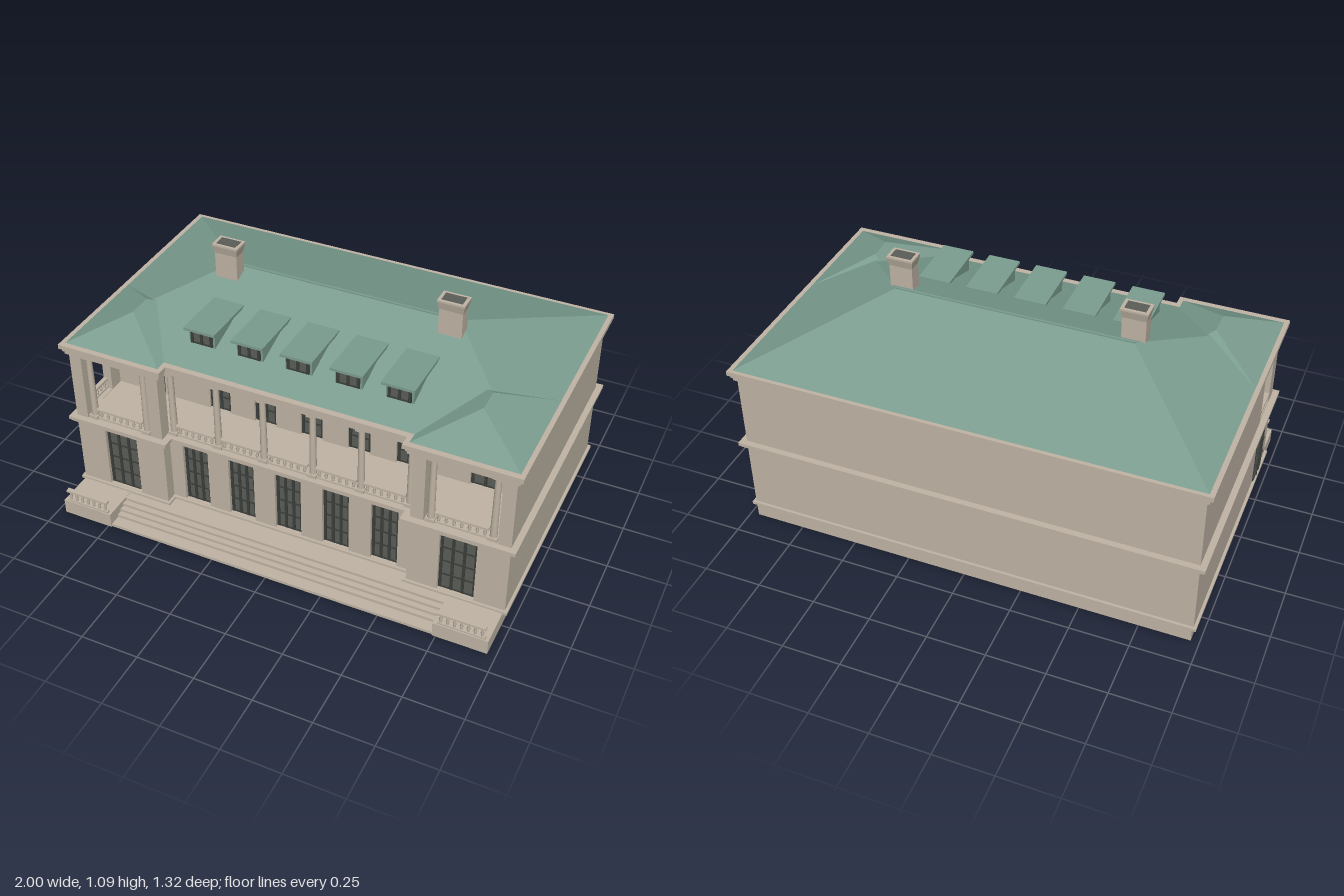
import * as THREE from 'three';

const mat = (name, color, side = THREE.FrontSide) => {
  const m = new THREE.MeshStandardMaterial({ color, side });
  m.name = name;
  return m;
};

export function createModel() {
  const house = new THREE.Group();
  house.name = 'house';
  const stone = mat('stone', 0xbfb4a4);
  const green = mat('roof green', 0x7b9d8f);
  const dark = mat('dark frame', 0x3b3e3a);
  const glass = mat('glass', 0x5a5d57);

  const add = (name, geo, material, parent = house) => {
    const m = new THREE.Mesh(geo, material);
    m.name = name;
    parent.add(m);
    return m;
  };
  // box from its minimum and maximum corners
  const box = (name, x0, x1, y0, y1, z0, z1, material = stone, parent = house) => {
    const g = new THREE.BoxGeometry(x1 - x0, y1 - y0, z1 - z0);
    g.translate((x0 + x1) / 2, (y0 + y1) / 2, (z0 + z1) / 2);
    return add(name, g, material, parent);
  };
  // box whose top face is moved to another rectangle (hips, flares)
  const taper = (name, [x0, x1, z0, z1], y0, [u0, u1, w0, w1], y1, material) => {
    const g = new THREE.BoxGeometry(1, 1, 1).toNonIndexed();
    const p = g.attributes.position;
    for (let i = 0; i < p.count; i++) {
      const r = p.getX(i) > 0, f = p.getZ(i) > 0;
      if (p.getY(i) > 0) p.setXYZ(i, r ? u1 : u0, y1, f ? w1 : w0);
      else p.setXYZ(i, r ? x1 : x0, y0, f ? z1 : z0);
    }
    g.computeVertexNormals();
    return add(name, g, material);
  };
  // slab following the plan: two front pavilions and a set-back centre
  const slab = (name, y0, y1, d) => {
    const X = 0.97 + d, I = 0.55 - d, B = 0.63 + d, F = -0.49 - d, C = -0.44 - d;
    const s = new THREE.Shape([[-X, B], [-X, F], [-I, F], [-I, C], [I, C], [I, F], [X, F], [X, B]]
      .map(([x, y]) => new THREE.Vector2(x, y)));
    const g = new THREE.ExtrudeGeometry(s, { depth: y1 - y0, bevelEnabled: false });
    g.rotateX(-Math.PI / 2).translate(0, y0, 0);
    return add(name, g, stone);
  };
  const rect = (x0, x1, y0, y1, C = THREE.Shape) =>
    new C([[x0, y0], [x1, y0], [x1, y1], [x0, y1]].map(([x, y]) => new THREE.Vector2(x, y)));
  const arch = (cx, w, y0, y1, C = THREE.Shape) => {
    const s = new C(), r = w / 2;
    s.moveTo(cx - r, y0);
    s.lineTo(cx + r, y0);
    s.lineTo(cx + r, y1 - r);
    s.absarc(cx, y1 - r, r, 0, Math.PI, false);
    s.closePath();
    return s;
  };
  // wall facing the front with rectangular openings [centre, width, bottom, top]
  const wall = (name, x0, x1, y0, y1, z, depth, openings) => {
    const s = rect(x0, x1, y0, y1);
    openings.forEach(([c, w, a, b]) => s.holes.push(rect(c - w / 2, c + w / 2, a, b, THREE.Path)));
    add(name, new THREE.ExtrudeGeometry(s, { depth, bevelEnabled: false }).translate(0, 0, z - depth), stone);
  };
  // glazed window with frame and bars, back face at z
  const windowUnit = (name, cx, w, y0, y1, z, cols, rows) => {
    const g = new THREE.Group();
    g.name = name;
    house.add(g);
    const x0 = cx - w / 2, t = 0.006, h = y1 - y0;
    box('pane', x0, x0 + w, y0, y1, z, z + 0.004, glass, g);
    for (let i = 0; i <= cols; i++) {
      const x = x0 + t + (w - 2 * t) * i / cols;
      box('upright', x - t, x + t, y0, y1, z, z + 0.009, dark, g);
    }
    for (let i = 0; i <= rows; i++) {
      const y = y0 + t / 2 + (h - t) * i / rows;
      box('bar', x0, x0 + w, y - t / 2, y + t / 2, z, z + 0.008, dark, g);
    }
  };
  const baluster = new THREE.LatheGeometry(
    [[0.006, 0], [0.004, 0.1], [0.0075, 0.35], [0.0035, 0.75], [0.006, 1]].map(([x, y]) => new THREE.Vector2(x, y)), 8);
  // straight balustrade centred on its group, running along x
  const balustrade = (name, x, y, z, length, height, turn = 0) => {
    const g = new THREE.Group();
    g.name = name;
    g.position.set(x, y, z);
    g.rotation.y = turn;
    house.add(g);
    const l = length / 2, n = Math.max(2, Math.round(length / 0.03));
    box('bottom rail', -l, l, 0, 0.008, -0.008, 0.008, stone, g);
    box('hand rail', -l, l, height - 0.01, height, -0.01, 0.01, stone, g);
    for (let i = 0; i < n; i++) {
      const b = add('baluster', baluster, stone, g);
      b.position.set(-l + length * (i + 0.5) / n, 0.008, 0);
      b.scale.y = height - 0.018;
    }
  };

  // terrace, steps and main body
  box('base', -0.965, 0.965, 0, 0.065, -0.635, 0.5);
  [0.66, 0.61, 0.587, 0.564, 0.54].forEach((z, i) =>
    box('step', -0.735, 0.735, i * 0.013, (i + 1) * 0.013, 0.45, z));
  box('lower body', -0.97, 0.97, 0.06, 0.39, -0.63, 0.415);
  box('upper body', -0.97, 0.97, 0.4, 0.74, -0.63, 0.19);
  slab('plinth moulding', 0.062, 0.075, 0.012);
  slab('floor band lower', 0.385, 0.395, 0.018);
  slab('floor band upper', 0.395, 0.41, 0.026);
  slab('cornice lower', 0.73, 0.745, 0.012);
  slab('cornice middle', 0.745, 0.76, 0.018);
  slab('cornice upper', 0.76, 0.78, 0.028);

  // front walls and windows
  const bays = [-0.43, -0.215, 0, 0.215, 0.43];
  wall('lower centre wall', -0.55, 0.55, 0.07, 0.39, 0.44, 0.025, bays.map(c => [c, 0.118, 0.076, 0.365]));
  wall('loggia back wall', -0.93, 0.93, 0.405, 0.735, 0.21, 0.02,
    [...bays.map(c => [c, 0.1, 0.411, 0.66]), [-0.76, 0.122, 0.411, 0.66], [0.76, 0.122, 0.411, 0.66]]);
  bays.forEach(c => {
    windowUnit('lower window', c, 0.118, 0.076, 0.365, 0.416, 3, 4);
    windowUnit('upper window', c, 0.1, 0.411, 0.66, 0.191, 2, 4);
  });

  // columns and balustrades of the upper loggia
  const shaft = new THREE.CylinderGeometry(0.0125, 0.0155, 0.32, 12);
  const column = (x, z) => {
    const g = new THREE.Group();
    g.name = 'column';
    g.position.set(x, 0, z);
    house.add(g);
    add('shaft', shaft, stone, g).position.y = 0.57;
    box('column base', -0.02, 0.02, 0.41, 0.425, -0.02, 0.02, stone, g);
    box('capital', -0.02, 0.02, 0.715, 0.732, -0.02, 0.02, stone, g);
  };
  [-0.32, -0.11, 0.11, 0.32].forEach(x => column(x, 0.425));
  [-0.425, -0.215, 0, 0.215, 0.425].forEach(x => balustrade('loggia balustrade', x, 0.41, 0.43, 0.18, 0.052));

  for (const s of [-1, 1]) {
    const span = (name, a, b, ...rest) => box(name, Math.min(s * a, s * b), Math.max(s * a, s * b), ...rest);
    span('pavilion body', 0.55, 0.97, 0.06, 0.39, 0.4, 0.465);
    wall('pavilion wall', s > 0 ? 0.55 : -0.97, s > 0 ? 0.97 : -0.55, 0.07, 0.39, 0.49, 0.025,
      [[s * 0.76, 0.155, 0.076, 0.365]]);
    windowUnit('pavilion lower window', s * 0.76, 0.155, 0.076, 0.365, 0.466, 3, 4);
    windowUnit('pavilion upper window', s * 0.76, 0.122, 0.411, 0.66, 0.191, 2, 4);
    span('inner pier', 0.555, 0.61, 0.405, 0.735, 0.43, 0.487);
    span('corner pier', 0.915, 0.93, 0.405, 0.735, 0.455, 0.49);
    column(s * 0.635, 0.468);
    column(s * 0.89, 0.468);
    column(s * 0.53, 0.425);
    balustrade('pavilion balustrade', s * 0.7625, 0.41, 0.472, 0.22, 0.052);
    // terrace ends
    span('terrace end', 0.735, 0.965, 0, 0.067, 0.4, 0.665);
    balustrade('terrace balustrade', s * 0.85, 0.067, 0.652, 0.2, 0.058);
    // pavilion roof and chimney
    const rx = s * 0.76;
    taper('pavilion roof', [rx - 0.22, rx + 0.22, 0.01, 0.495], 0.779, [rx, rx, 0.2, 0.305], 0.88, green);
    const cx = s * 0.497;
    box('chimney shaft', cx - 0.05, cx + 0.05, 0.86, 1.04, -0.075, -0.016);
    taper('chimney flare', [cx - 0.05, cx + 0.05, -0.075, -0.016], 1.04,
      [cx - 0.058, cx + 0.058, -0.084, -0.008], 1.075, stone);
    box('chimney rim', cx - 0.058, cx + 0.058, 1.075, 1.083, -0.084, -0.008);
    box('flue opening', cx - 0.044, cx + 0.044, 1.08, 1.085, -0.071, -0.021, glass);
  }

  // side walls of the loggia: solid on one side, arched on the other
  box('left side wall', 0.93, 0.97, 0.405, 0.735, 0.18, 0.49);
  const side = rect(0.18, 0.49, 0.405, 0.735);
  side.holes.push(arch(0.345, 0.14, 0.411, 0.69, THREE.Path));
  const sideWall = add('arched side wall',
    new THREE.ExtrudeGeometry(side, { depth: 0.04, bevelEnabled: false, curveSegments: 16 }), stone);
  sideWall.rotation.y = -Math.PI / 2;
  sideWall.position.x = -0.93;
  balustrade('side balustrade', -0.96, 0.41, 0.345, 0.14, 0.052, Math.PI / 2);

  // arched side door below
  const archPlate = (name, w, y1, depth, m) => {
    const d = add(name, new THREE.ExtrudeGeometry(arch(0.345, w, 0.076, y1), { depth, bevelEnabled: false }), m);
    d.rotation.y = -Math.PI / 2;
    d.position.x = -0.969;
  };
  archPlate('side door frame', 0.14, 0.372, 0.004, dark);
  archPlate('side door glass', 0.122, 0.362, 0.006, glass);
  for (const z of [0.325, 0.365]) box('door upright', -0.978, -0.969, 0.076, 0.355, z - 0.004, z + 0.004, dark);
  for (const y of [0.15, 0.225, 0.3]) box('door bar', -0.978, -0.969, y, y + 0.006, 0.284, 0.406, dark);

  // main roof with ridge cap
  taper('main roof', [-0.98, 0.98, -0.645, 0.445], 0.779, [-0.51, 0.51, -0.1, -0.1], 0.953, green);
  box('ridge cap', -0.515, 0.515, 0.948, 0.957, -0.105, -0.095, green);

  // dormers
  bays.forEach(c => {
    box('dormer body', c - 0.058, c + 0.058, 0.8, 0.89, 0.1, 0.32, green);
    windowUnit('dormer window', c, 0.098, 0.826, 0.882, 0.32, 2, 1);
    const lid = box('dormer roof', -0.07, 0.07, -0.012, 0, -0.255, 0, green);
    lid.position.set(c, 0.902, 0.345);
    lid.rotation.x = -0.025;
  });

  return house;
}
